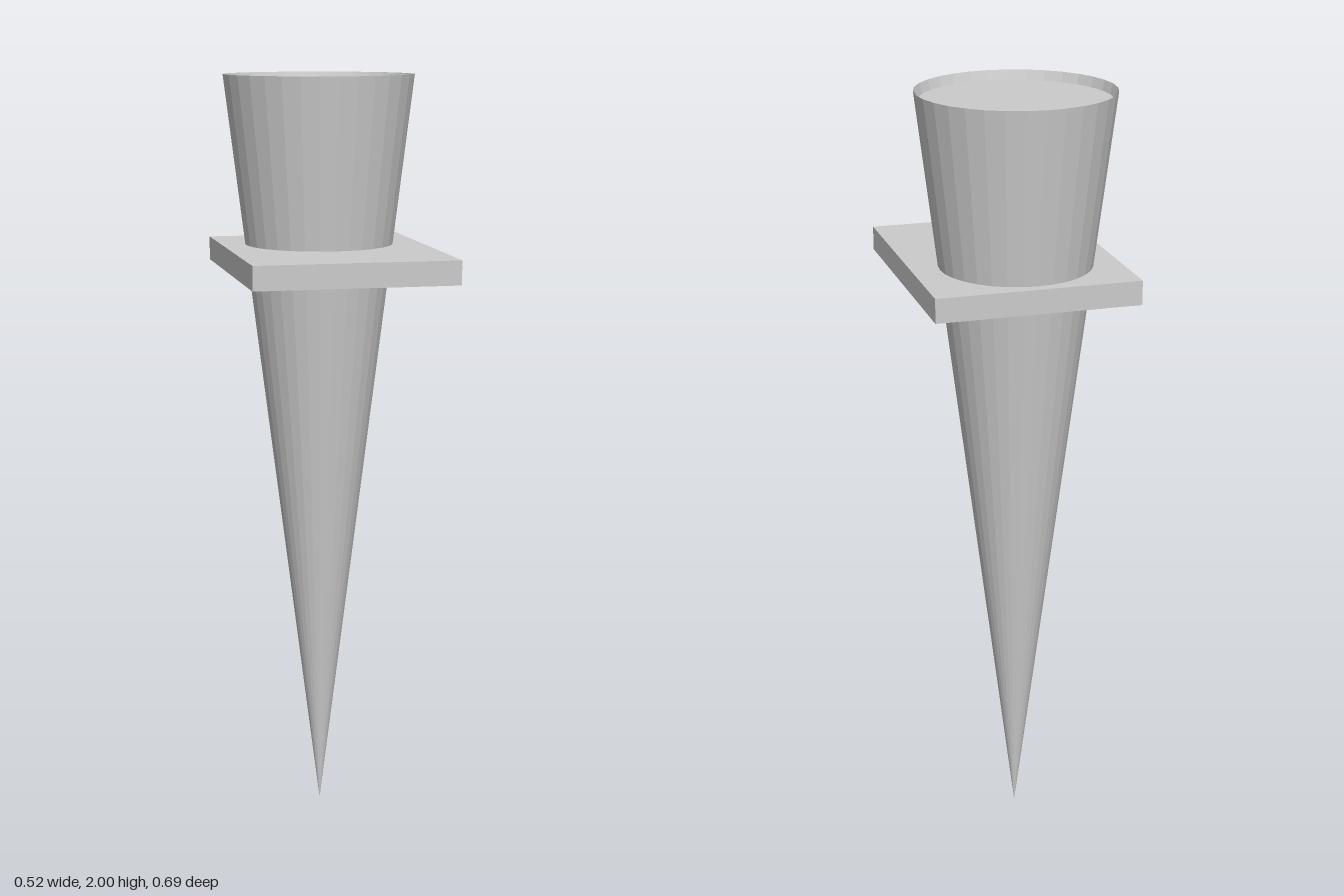
import * as THREE from 'three';

export function createModel() {
  const model = new THREE.Group();
  const material = new THREE.MeshStandardMaterial({ color: 0xcccccc, flatShading: true });

  // Pointed cone with a shallow recess in its top
  const profile = [[0, 0], [0.249, 2], [0.24, 1.975], [0, 1.975]];
  const cone = new THREE.Mesh(
    new THREE.LatheGeometry(profile.map(([r, y]) => new THREE.Vector2(r, y)), 32),
    material
  );
  cone.name = 'cone';
  cone.position.set(-0.004, 0, -0.097);
  model.add(cone);

  // Flat plate the cone passes through, reaching further to the front
  const plate = new THREE.Mesh(new THREE.BoxGeometry(0.522, 0.062, 0.662), material);
  plate.name = 'holderPlate';
  plate.position.set(0, 1.531, 0.012);
  model.add(plate);

  return model;
}
